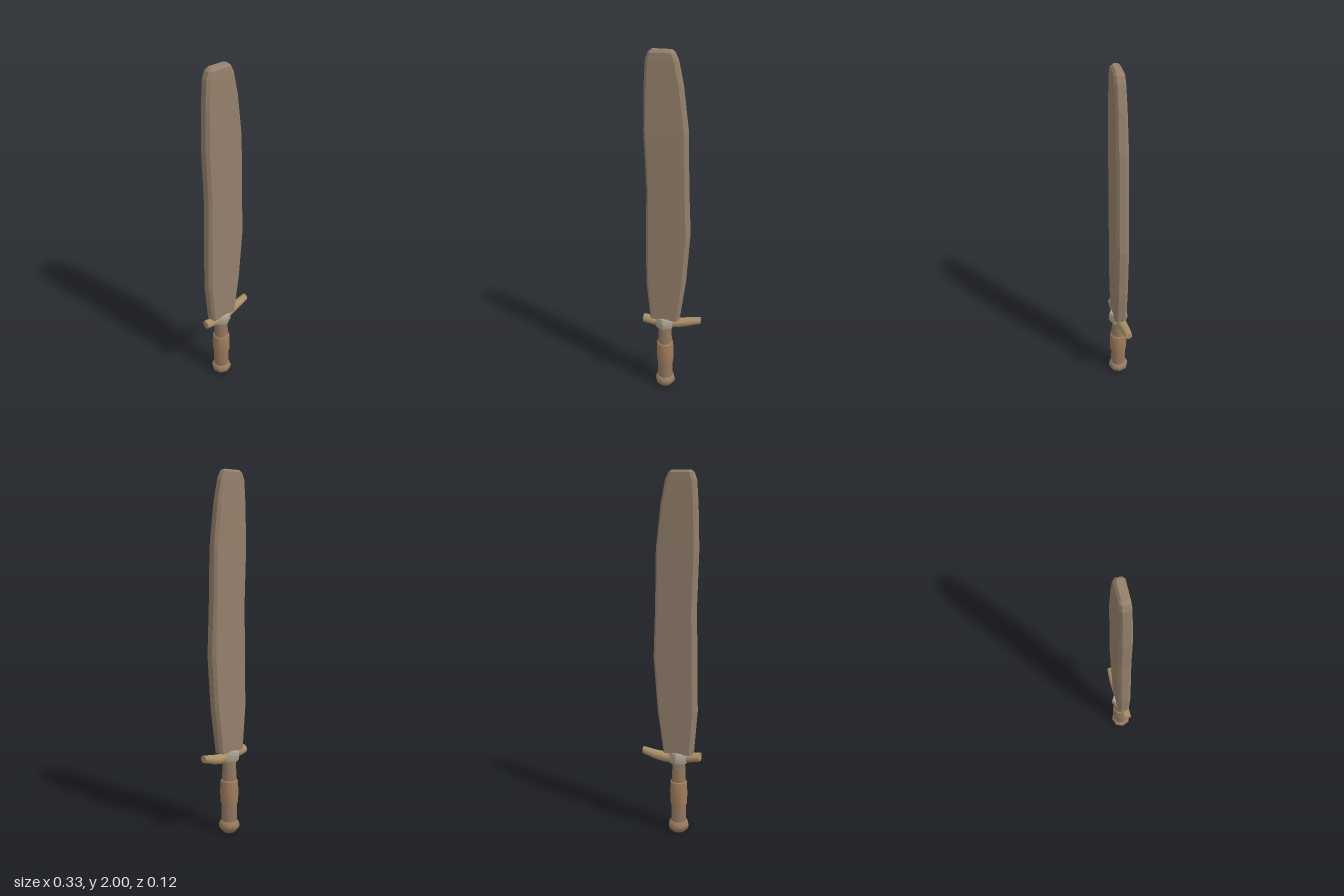
import * as THREE from 'three';
import { toCreasedNormals } from 'three/addons/utils/BufferGeometryUtils.js';

const CENTER_X = -0.042;

function addMesh(group, name, geometry, color, flatShading = false) {
  const mesh = new THREE.Mesh(geometry, new THREE.MeshStandardMaterial({ color, flatShading }));
  mesh.name = name;
  group.add(mesh);
  return mesh;
}

// Skin equal-sized rings (counter-clockwise about the loft direction) and cap both ends.
function loft(rings) {
  const n = rings[0].length;
  const index = [];
  for (let i = 0; i < rings.length - 1; i++) {
    for (let j = 0; j < n; j++) {
      const a = i * n + j, b = i * n + (j + 1) % n;
      index.push(a, b, b + n, a, b + n, a + n);
    }
  }
  const top = (rings.length - 1) * n;
  for (let j = 1; j < n - 1; j++) {
    index.push(0, j + 1, j, top, top + j, top + j + 1);
  }
  const geometry = new THREE.BufferGeometry();
  geometry.setAttribute('position', new THREE.Float32BufferAttribute(rings.flat(2), 3));
  geometry.setIndex(index);
  geometry.computeVertexNormals();
  return geometry;
}

// Turned part from [radius, y] pairs, smooth around and sharp at the steps.
function turned(profile, sides, crease) {
  const points = profile.map(([r, y]) => new THREE.Vector2(r, y));
  const geometry = toCreasedNormals(new THREE.LatheGeometry(points, sides), crease);
  return geometry.translate(CENTER_X, 0, 0);
}

export function createModel() {
  const model = new THREE.Group();
  model.name = 'sword';

  // Blade sections: y, left x, right x, half thickness, half edge, bevel width
  const sections = [
    [0.475, -0.125, 0.043, 0.034, 0.018, 0.013],
    [0.72, -0.145, 0.077, 0.035, 0.019, 0.015],
    [1.02, -0.141, 0.099, 0.035, 0.019, 0.016],
    [1.28, -0.135, 0.089, 0.034, 0.019, 0.014],
    [1.6, -0.146, 0.083, 0.033, 0.018, 0.014],
    [1.83, -0.14, 0.056, 0.03, 0.017, 0.015],
    [1.95, -0.132, 0.031, 0.028, 0.016, 0.016],
    [1.987, -0.118, 0.014, 0.026, 0.015, 0.014],
    [2.0, -0.103, 0.0, 0.015, 0.01, 0.008],
  ];
  const bladeRings = sections.map(([y, l, r, t, e, b]) => [
    [l + b, y, t], [r - b, y, t], [r, y, e], [r, y, -e],
    [r - b, y, -t], [l + b, y, -t], [l, y, -e], [l, y, e],
  ]);
  addMesh(model, 'blade', loft(bladeRings), 0x94806c, true);

  // Crooked crossguard: centre x, y, z and radius along its length
  const guardPath = [
    [-0.165, 0.46, 0.012, 0.026],
    [-0.1, 0.45, 0.008, 0.028],
    [-0.04, 0.445, 0, 0.029],
    [0.03, 0.443, -0.01, 0.029],
    [0.09, 0.453, -0.017, 0.026],
    [0.163, 0.471, -0.021, 0.021],
  ];
  const guardRings = guardPath.map(([x, y, z, r]) =>
    Array.from({ length: 8 }, (_, i) => {
      const a = (i + 0.5) * Math.PI / 4;
      return [x, y + r * Math.cos(a), z + r * Math.sin(a)];
    }));
  addMesh(model, 'crossguard', toCreasedNormals(loft(guardRings), 0.9), 0xaa9068);

  // Six-sided collar where blade, guard and grip meet
  addMesh(model, 'collar',
    turned([[0, 0.414], [0.05, 0.414], [0.057, 0.425], [0.055, 0.472], [0.049, 0.481], [0, 0.481]], 6, 0.6),
    0xaca491);

  // Grip with a wrapped swelling in the middle
  addMesh(model, 'grip',
    turned([[0, 0.05], [0.044, 0.05], [0.045, 0.1], [0.043, 0.18], [0.043, 0.3], [0.039, 0.37], [0.038, 0.42], [0, 0.42]], 8, 0.9),
    0x94785f);
  addMesh(model, 'gripWrap',
    turned([[0.04, 0.168], [0.049, 0.172], [0.052, 0.235], [0.049, 0.303], [0.04, 0.308]], 8, 0.9),
    0xa17d5d);

  // Pommel
  addMesh(model, 'pommel',
    turned([[0, 0], [0.036, 0], [0.056, 0.021], [0.06, 0.04], [0.052, 0.062], [0.042, 0.068], [0, 0.068]], 8, 0.9),
    0x967a5f);

  return model;
}
